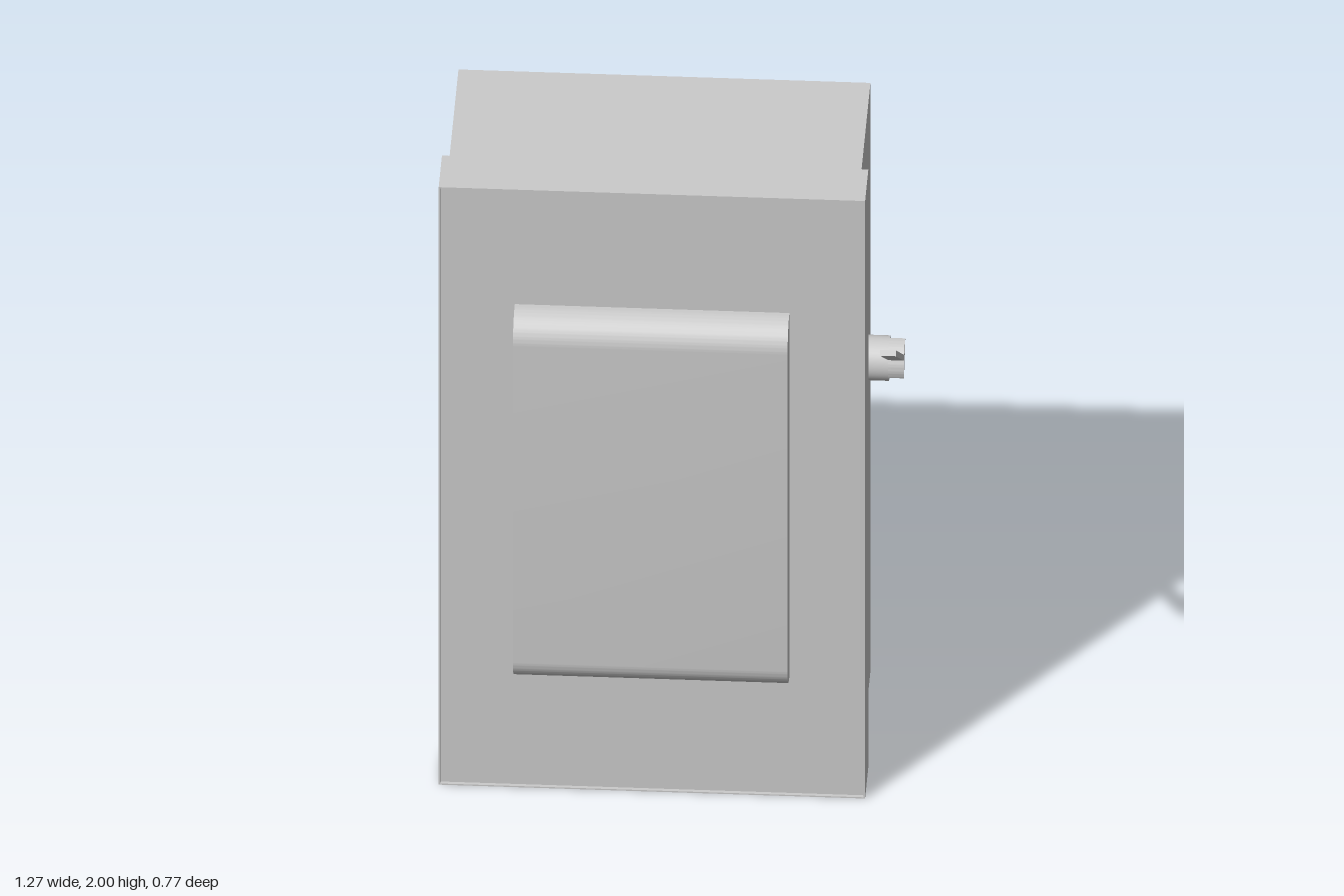
import * as THREE from 'three';
import { toCreasedNormals } from 'three/addons/utils/BufferGeometryUtils.js';

const material = new THREE.MeshStandardMaterial({ color: 0xcccccc });

export function createModel() {
  const group = new THREE.Group();

  const add = (name, geometry, x = 0, y = 0, z = 0) => {
    const mesh = new THREE.Mesh(geometry, material);
    mesh.name = name;
    mesh.position.set(x, y, z);
    group.add(mesh);
    return mesh;
  };

  // Box given by its lower and upper corners
  const box = (name, [x0, y0, z0], [x1, y1, z1]) =>
    add(name, new THREE.BoxGeometry(x1 - x0, y1 - y0, z1 - z0),
      (x0 + x1) / 2, (y0 + y1) / 2, (z0 + z1) / 2);

  // Side profile drawn in (z, y), extruded across x from x0 to x1
  const sideExtrude = (name, shape, x0, x1) => {
    const geo = new THREE.ExtrudeGeometry(shape, { depth: x1 - x0, bevelEnabled: false, curveSegments: 16 });
    const mesh = add(name, toCreasedNormals(geo, 0.5), x1);
    mesh.rotation.y = -Math.PI / 2;
    return mesh;
  };

  // Enclosure and its wider front cover
  box('enclosure', [-0.62, 0.015, -0.385], [0.52, 1.985, 0.07]);
  box('coverPlate', [-0.638, 0.002, 0.06], [0.538, 1.998, 0.205]);

  // Thin rim around the cover, standing just proud of the plate
  const rim = new THREE.Shape([[-0.64, 0], [0.54, 0], [0.54, 2], [-0.64, 2]].map(p => new THREE.Vector2(...p)));
  rim.holes.push(new THREE.Path([[-0.636, 0.004], [-0.636, 1.996], [0.536, 1.996], [0.536, 0.004]].map(p => new THREE.Vector2(...p))));
  add('coverRim', new THREE.ExtrudeGeometry(rim, { depth: 0.155, bevelEnabled: false }), 0, 0, 0.06);

  // Raised front panel, rounded along its top and bottom edges
  const zBack = 0.2, zFront = 0.295, yLow = 0.395, yHigh = 1.61, r = 0.08;
  const panel = new THREE.Shape();
  panel.moveTo(zBack, yLow);
  panel.lineTo(zFront - r, yLow);
  panel.absarc(zFront - r, yLow + r, r, -Math.PI / 2, 0, false);
  panel.absarc(zFront - r, yHigh - r, r, 0, Math.PI / 2, false);
  panel.lineTo(zBack, yHigh);
  panel.closePath();
  sideExtrude('frontPanel', panel, -0.43, 0.33);

  // Switch hub on the left side
  const hubY = 1.29, hubZ = -0.058, hubR = 0.063;
  add('switchHub', new THREE.CylinderGeometry(hubR, hubR, 0.08, 40), 0.552, hubY, hubZ)
    .rotation.z = Math.PI / 2;

  // Wedge on the hub that carries the handle
  const wedge = new THREE.Shape();
  wedge.moveTo(hubZ, hubY);
  wedge.absarc(hubZ, hubY, hubR, THREE.MathUtils.degToRad(-26), THREE.MathUtils.degToRad(97), false);
  wedge.closePath();
  sideExtrude('handleWedge', wedge, 0.591, 0.635);

  // Thin handle slanting up and forward
  const start = new THREE.Vector2(-0.03, 1.311), end = new THREE.Vector2(0.382, 1.608);
  const mid = start.clone().add(end).multiplyScalar(0.5);
  const along = end.clone().sub(start);
  add('handle', new THREE.BoxGeometry(0.044, 0.016, along.length()), 0.613, mid.y, mid.x)
    .rotation.x = -along.angle();

  return group;
}
